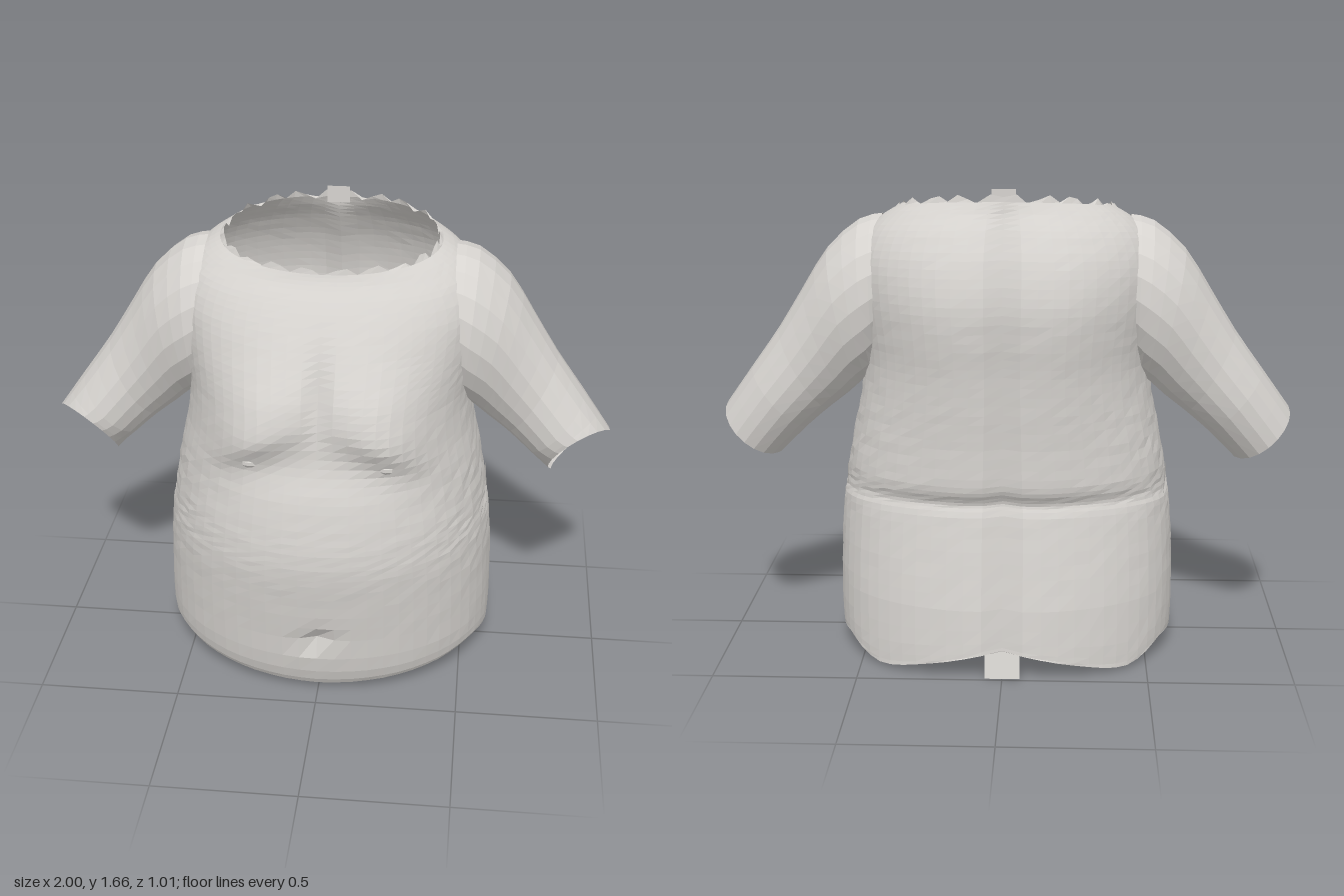
import * as THREE from 'three';

const skin = new THREE.MeshStandardMaterial({ color: 0xd6d3cf, flatShading: true, side: THREE.DoubleSide });
skin.name = 'palePlaster';

// smooth interpolation through rows of numbers, t in 0..1
function sample(rows, t) {
  const f = t * (rows.length - 1);
  const i = Math.min(Math.floor(f), rows.length - 2);
  const u = f - i;
  const at = k => rows[Math.max(0, Math.min(rows.length - 1, k))];
  const [a, b, c, d] = [at(i - 1), at(i), at(i + 1), at(i + 2)];
  return b.map((_, k) => b[k] + 0.5 * u * (c[k] - a[k]
    + u * (2 * a[k] - 5 * b[k] + 4 * c[k] - d[k] + u * (3 * (b[k] - c[k]) + d[k] - a[k]))));
}

// closed rings joined into an open tube; point(i, j) gives [x, y, z], isHole(x, y, z) drops faces
function loft(rows, cols, point, isHole = () => false) {
  const pts = [], idx = [];
  for (let i = 0; i <= rows; i++) for (let j = 0; j < cols; j++) pts.push(point(i, j));
  for (let i = 0; i < rows; i++) for (let j = 0; j < cols; j++) {
    const a = i * cols + j, b = i * cols + (j + 1) % cols;
    const middle = pts[a].map((v, k) => (v + pts[b + cols][k]) / 2);
    if (!isHole(...middle)) idx.push(a, b, b + cols, a, b + cols, a + cols);
  }
  const g = new THREE.BufferGeometry();
  g.setAttribute('position', new THREE.Float32BufferAttribute(pts.flat(), 3));
  g.setIndex(idx);
  g.computeVertexNormals();
  return g;
}

const bell = (v, r) => Math.exp(-(v / r) * (v / r));
const noise = (i, j) => {
  const s = Math.sin(i * 12.99 + j * 78.23) * 43758.55;
  return s - Math.floor(s) - 0.5;
};

// torso rings: front y, back y, half width, front z, back z
const TORSO = [
  [0.03, 0.07, 0.595, 0.41, -0.51], [0.2, 0.2, 0.6, 0.46, -0.5],
  [0.4, 0.4, 0.595, 0.49, -0.465], [0.52, 0.56, 0.585, 0.505, -0.435],
  [0.6, 0.61, 0.572, 0.505, -0.43], [0.68, 0.67, 0.562, 0.495, -0.445],
  [0.8, 0.8, 0.54, 0.47, -0.445], [0.92, 0.92, 0.515, 0.43, -0.45],
  [1.05, 1.05, 0.5, 0.415, -0.455], [1.15, 1.17, 0.51, 0.395, -0.465],
  [1.25, 1.29, 0.525, 0.355, -0.465], [1.35, 1.41, 0.53, 0.305, -0.435],
  [1.43, 1.51, 0.5, 0.255, -0.385], [1.49, 1.58, 0.44, 0.21, -0.335],
  [1.53, 1.625, 0.37, 0.19, -0.31],
];
// height of the torn lower edge from front to back
const HEM = [0.025, 0.04, 0.07, 0.1, 0.06, 0.07, 0.015, 0.05, 0.1].map(v => [v]);

function torsoGeometry() {
  const rows = 56, cols = 64;
  const point = (i, j) => {
    const [yf, yb, w, zf, zb] = sample(TORSO, i / rows);
    const a = j / cols * Math.PI * 2, s = Math.sin(a), c = Math.cos(a);
    const k = c > 0 ? 0.97 : 0.92;
    const mirrored = Math.min(j, cols - j);
    const x = w * Math.sign(s) * Math.abs(s) ** k;
    const back = Math.max(0, -c);
    const zc = -0.05;
    let z = zc + ((c > 0 ? zf : zb) - zc) * Math.abs(c) ** k;
    let y = yf + (yb - yf) * (1 - c) / 2;
    // lower edge, and the ragged neck edge
    y += (sample(HEM, mirrored / (cols / 2))[0] - y) * Math.max(0, 1 - i / 5);
    if (i === rows) y += (mirrored % 3 ? 0.008 : -0.014) + 0.02 * noise(3, mirrored);
    // chest with slanting undersides, cleavage, navel
    const ax = Math.abs(x), dy = y - (1.11 - 0.46 * ax);
    if (c > 0) {
      z += 0.07 * bell(ax - 0.24, 0.17) * bell(dy, dy < 0 ? 0.09 : 0.2);
      z -= 0.025 * bell(x, 0.03) * bell(y - 1.17, 0.12);
      z -= 0.03 * bell(x, 0.05) * bell(y - 0.25, 0.035);
    }
    // spine groove fading out at the neck, shoulder blades, waist fold
    z += back * 0.035 * bell(x, 0.05) * (1 - bell(y - 1.64, 0.08));
    z -= back * 0.015 * bell(ax - 0.22, 0.13) * bell(y - 1.2, 0.3);
    z += back * 0.01 * bell(y - 0.6, 0.025);
    // small wrinkles, strongest on the flanks
    const n = noise(i, mirrored) * (0.003 + 0.009 * Math.abs(s) ** 3 * bell(y - 0.7, 0.25));
    return [x * (1 + n), y, z * (1 + n)];
  };
  // armholes, kept inside the root of each arm
  const isArmhole = (x, y, z) => Math.abs(x) > 0.44
    && ((y - 1.27) / 0.2) ** 2 + ((z + 0.07) / 0.17) ** 2 < 1;
  return loft(rows, cols, point, isArmhole);
}

// arm rings: top x, top y, bottom x, bottom y, front z, back z
const ARM = [
  [0.43, 1.55, 0.44, 1.04, 0.15, -0.29], [0.51, 1.53, 0.465, 0.995, 0.16, -0.305],
  [0.62, 1.435, 0.51, 0.96, 0.135, -0.295], [0.71, 1.295, 0.56, 0.915, 0.105, -0.27],
  [0.8, 1.15, 0.63, 0.86, 0.09, -0.25], [0.9, 1.01, 0.71, 0.79, 0.1, -0.24],
  [1.0, 0.87, 0.8, 0.7, 0.1, -0.21],
];

function armGeometry() {
  const rows = 12, cols = 20;
  return loft(rows, cols, (i, j) => {
    const [tx, ty, bx, by, zf, zb] = sample(ARM, i / rows);
    const a = j / cols * Math.PI * 2, s = Math.sin(a), c = Math.cos(a);
    // the cuff is cut back towards the front
    const slant = (s > 0 ? s : s * 0.3) * [1, 0.5][rows - i] || 0;
    return [
      (tx + bx) / 2 + (tx - bx) / 2 * c - 0.055 * slant,
      (ty + by) / 2 + (ty - by) / 2 * c + 0.09 * slant,
      (zf + zb) / 2 + (zf - zb) / 2 * s,
    ];
  });
}

export function createModel() {
  const model = new THREE.Group();
  model.name = 'torsoShell';
  const add = (name, geometry, x = 0, y = 0, z = 0) => {
    const mesh = new THREE.Mesh(geometry, skin);
    mesh.name = name;
    mesh.position.set(x, y, z);
    model.add(mesh);
    return mesh;
  };

  add('torso', torsoGeometry());
  const arm = armGeometry();
  const nipple = new THREE.SphereGeometry(0.025, 8, 5);
  // loose fold of skin on each flank
  const fold = new THREE.BufferGeometry();
  fold.setAttribute('position', new THREE.Float32BufferAttribute(
    [0.575, 0.6, -0.03, 0.555, 0.58, -0.2, 0.565, 0.68, -0.12], 3));
  fold.computeVertexNormals();
  for (const [side, sx] of [['left', 1], ['right', -1]]) {
    add(side + 'Arm', arm).scale.x = sx;
    add(side + 'Nipple', nipple, sx * 0.23, 0.92, 0.4).scale.set(1.3, 0.8, 0.8);
    add(side + 'FlankFold', fold).scale.x = sx;
  }

  // loose strips at the ends of the spine
  add('neckTab', new THREE.PlaneGeometry(0.08, 0.06), 0, 1.63, -0.3);
  add('spineTab', new THREE.PlaneGeometry(0.12, 0.11, 2, 1), 0, 0.055, -0.475).rotation.x = 0.25;
  return model;
}
